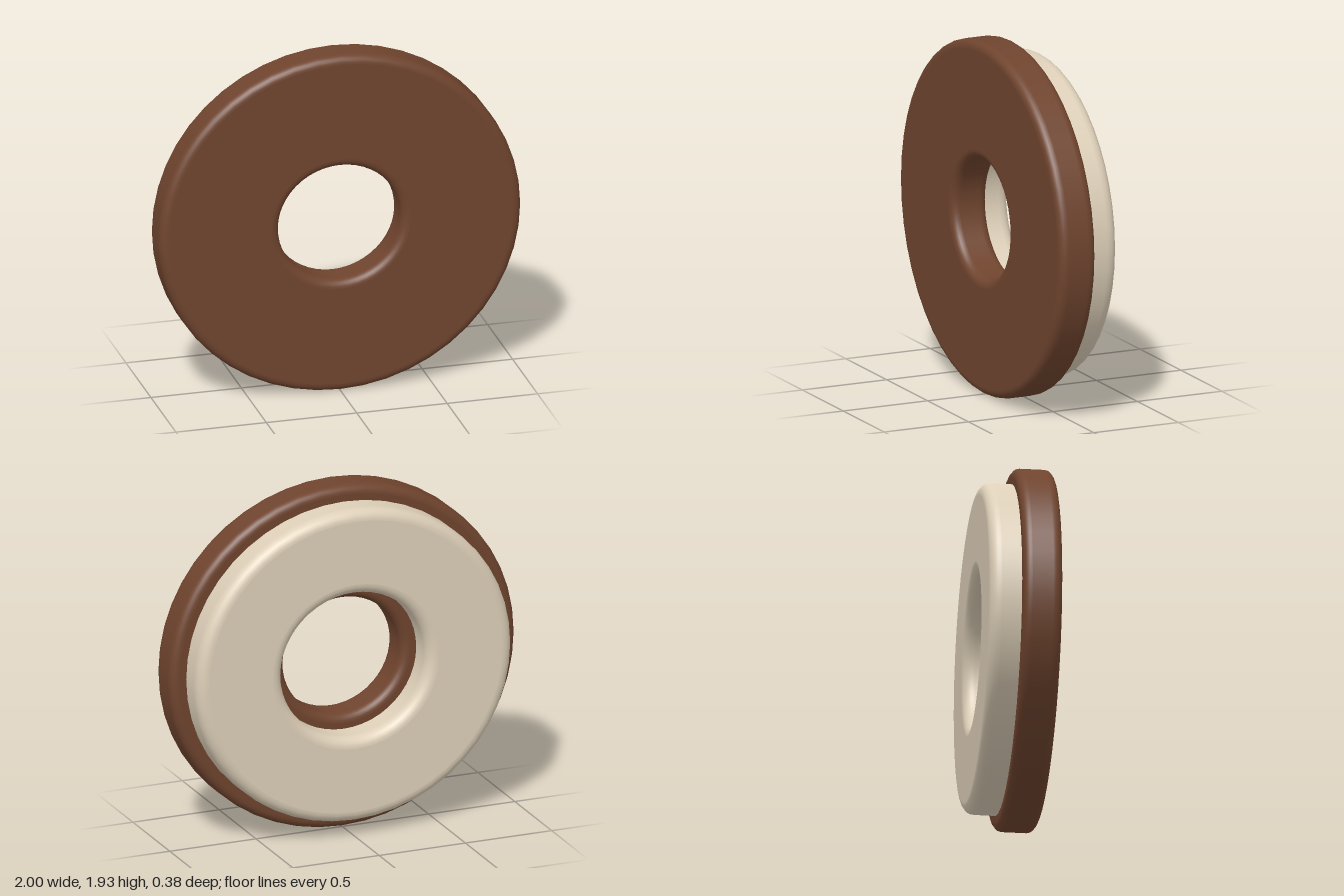
import * as THREE from 'three';

const SEGMENTS = 48;
const SQUASH = 0.965; // the rings are slightly wider than tall

// Closed ring profile (radius, depth) with rounded corners and a crisp flat between them
function ringProfile(inner, outer, back, front, backBevel, frontBevel) {
  const mid = (back + front) / 2;
  const points = [new THREE.Vector2(outer, mid)];
  const corner = (r, z, bevel, startAngle) => {
    const cr = r === outer ? r - bevel : r + bevel;
    const cz = z === front ? z - bevel : z + bevel;
    const steps = 6;
    const lead = 0.004;
    const at = (angle, slide) => points.push(new THREE.Vector2(
      cr + Math.cos(angle) * bevel - Math.sin(angle) * slide,
      cz + Math.sin(angle) * bevel + Math.cos(angle) * slide));
    // short straight leads keep the flat faces evenly shaded
    at(startAngle, -lead);
    for (let i = 0; i <= steps; i++) at(startAngle + (i / steps) * Math.PI / 2, 0);
    at(startAngle + Math.PI / 2, lead);
  };
  corner(outer, front, frontBevel, 0);
  corner(inner, front, frontBevel, Math.PI / 2);
  corner(inner, back, backBevel, Math.PI);
  corner(outer, back, backBevel, Math.PI * 1.5);
  points.push(points[0].clone());
  return points;
}

function makeRing(name, profile, material) {
  const geometry = new THREE.LatheGeometry(profile, SEGMENTS);
  geometry.rotateX(Math.PI / 2);
  geometry.scale(1, SQUASH, 1);
  const mesh = new THREE.Mesh(geometry, material);
  mesh.name = name;
  mesh.position.y = SQUASH;
  return mesh;
}

export function createModel() {
  const brown = new THREE.MeshStandardMaterial({ color: 0x6f442e });
  brown.name = 'brown';
  const cream = new THREE.MeshStandardMaterial({ color: 0xddcfb8 });
  cream.name = 'cream';

  const model = new THREE.Group();
  model.name = 'layeredRing';

  // Wide front ring
  model.add(makeRing('frontRing', ringProfile(0.34, 1, -0.02, 0.19, 0.045, 0.045), brown));
  // Narrower back ring, its front edge sunk into the front ring
  model.add(makeRing('backRing', ringProfile(0.42, 0.913, -0.19, 0.03, 0.06, 0.01), cream));
  return model;
}
